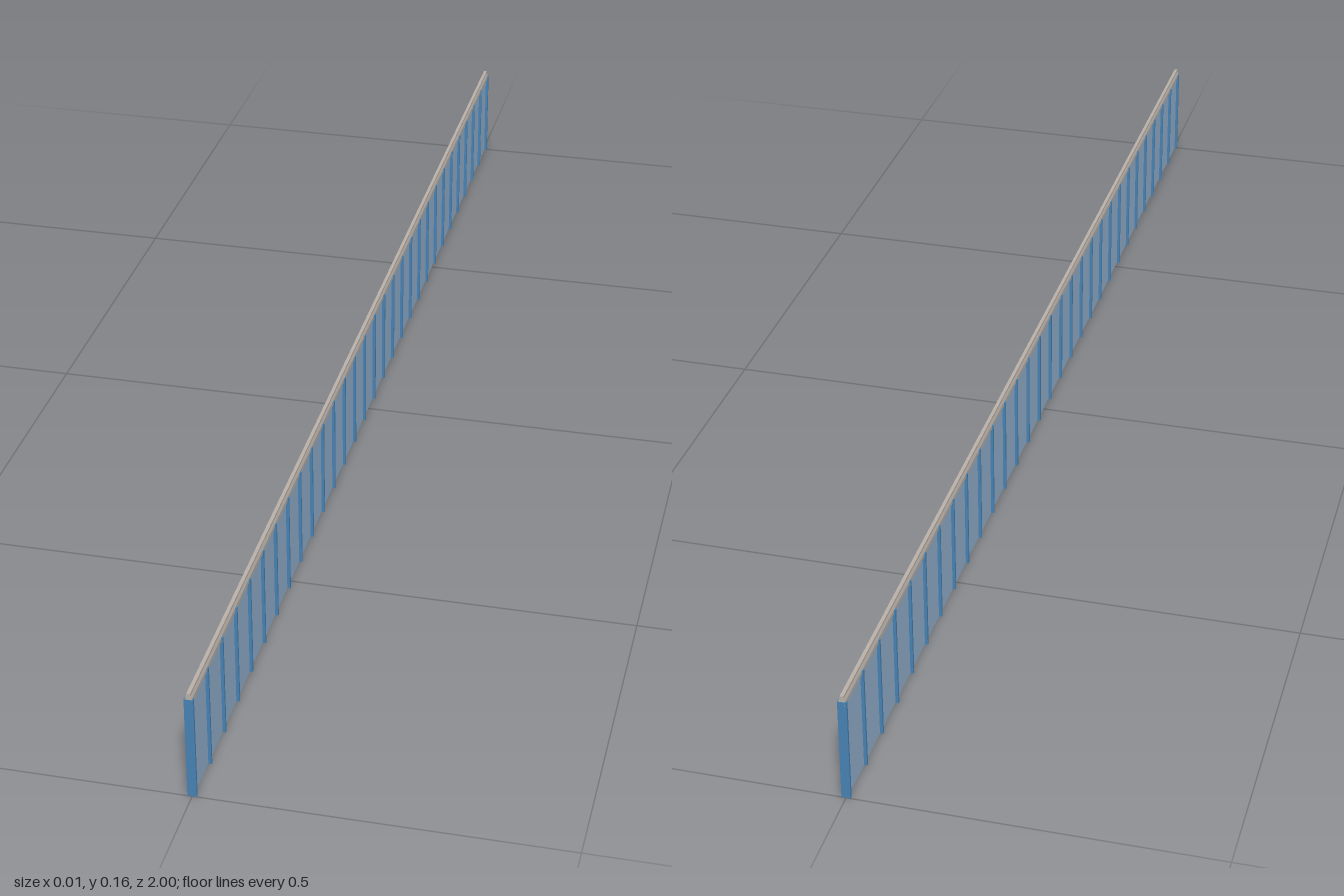
import * as THREE from 'three';

const LENGTH = 2, BAYS = 29;
const POST_W = 0.0125, POST_D = 0.004, POST_H = 0.1515;

export function createModel() {
  const group = new THREE.Group();
  const postMat = new THREE.MeshStandardMaterial({ color: 0x4682b4 });
  const panelMat = new THREE.MeshStandardMaterial({ color: 0x94b1cf });
  const railMat = new THREE.MeshStandardMaterial({ color: 0xb8b0a8 });

  function box(name, w, h, d, z, mat) {
    const mesh = new THREE.Mesh(new THREE.BoxGeometry(w, h, d), mat);
    mesh.name = name;
    mesh.position.set(0, h / 2, z);
    group.add(mesh);
  }

  // Evenly spaced flat posts, with a thin panel filling each bay
  const step = (LENGTH - POST_D) / BAYS;
  const start = -LENGTH / 2 + POST_D / 2;
  for (let i = 0; i <= BAYS; i++) {
    box('post', POST_W, POST_H, POST_D, start + i * step, postMat);
    if (i < BAYS) box('panel', 0.004, 0.15, step - POST_D, start + (i + 0.5) * step, panelMat);
  }

  // Continuous top rail with sloped shoulders and a narrow crest
  const half = [[0.0045, 0.146], [0.0045, 0.1525], [0.0025, 0.157], [0.0025, 0.1605]];
  const outline = [...half, ...half.map(([x, y]) => [-x, y]).reverse()];
  const shape = new THREE.Shape(outline.map(([x, y]) => new THREE.Vector2(x, y)));
  const railGeo = new THREE.ExtrudeGeometry(shape, { depth: LENGTH, bevelEnabled: false });
  railGeo.translate(0, 0, -LENGTH / 2);
  const rail = new THREE.Mesh(railGeo, railMat);
  rail.name = 'topRail';
  group.add(rail);

  return group;
}
